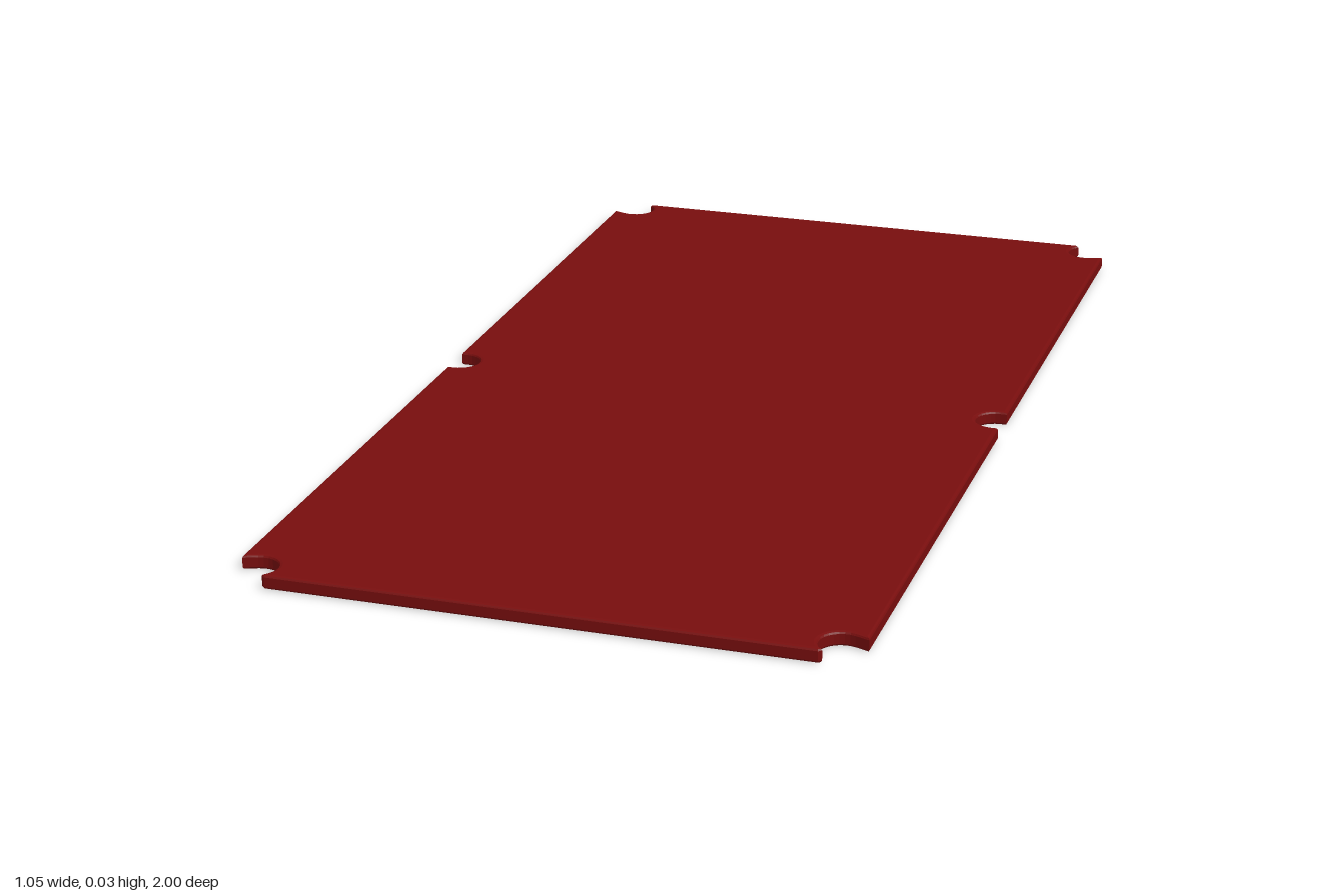
import * as THREE from 'three';

// points along a circular arc, angles in degrees
function arc(cx, cy, r, from, to, steps) {
  return Array.from({ length: steps + 1 }, (_, i) => {
    const a = THREE.MathUtils.degToRad(from + (to - from) * i / steps);
    return [cx + r * Math.cos(a), cy + r * Math.sin(a)];
  });
}

export function createModel() {
  const group = new THREE.Group();
  group.name = 'tableCloth';
  const cloth = new THREE.MeshStandardMaterial({ color: 0x780e0e });
  cloth.name = 'dark red cloth';

  // one quarter of the outline: half a side notch, long edge, corner notch
  const quarter = [
    ...arc(0.513, 0, 0.037, 172, 90, 6), [0.525, 0.037],
    [0.525, 0.94], ...arc(0.488, 0.966, 0.037, -70, -232, 12), [0.46, 1],
  ];
  const mirror = (sx, sy) => quarter.map(([x, y]) => new THREE.Vector2(x * sx, y * sy));
  const outline = [
    ...mirror(1, 1), ...mirror(-1, 1).reverse(),
    ...mirror(-1, -1), ...mirror(1, -1).reverse(),
  ];

  // thin slab with softened rims, laid flat
  const geometry = new THREE.ExtrudeGeometry(new THREE.Shape(outline), {
    depth: 0.017, bevelEnabled: true, bevelThickness: 0.004,
    bevelSize: 0.006, bevelOffset: -0.006, bevelSegments: 2,
  });
  geometry.rotateX(-Math.PI / 2);
  geometry.translate(0, 0.004, 0);

  const bed = new THREE.Mesh(geometry, cloth);
  bed.name = 'notchedBed';
  group.add(bed);
  return group;
}
